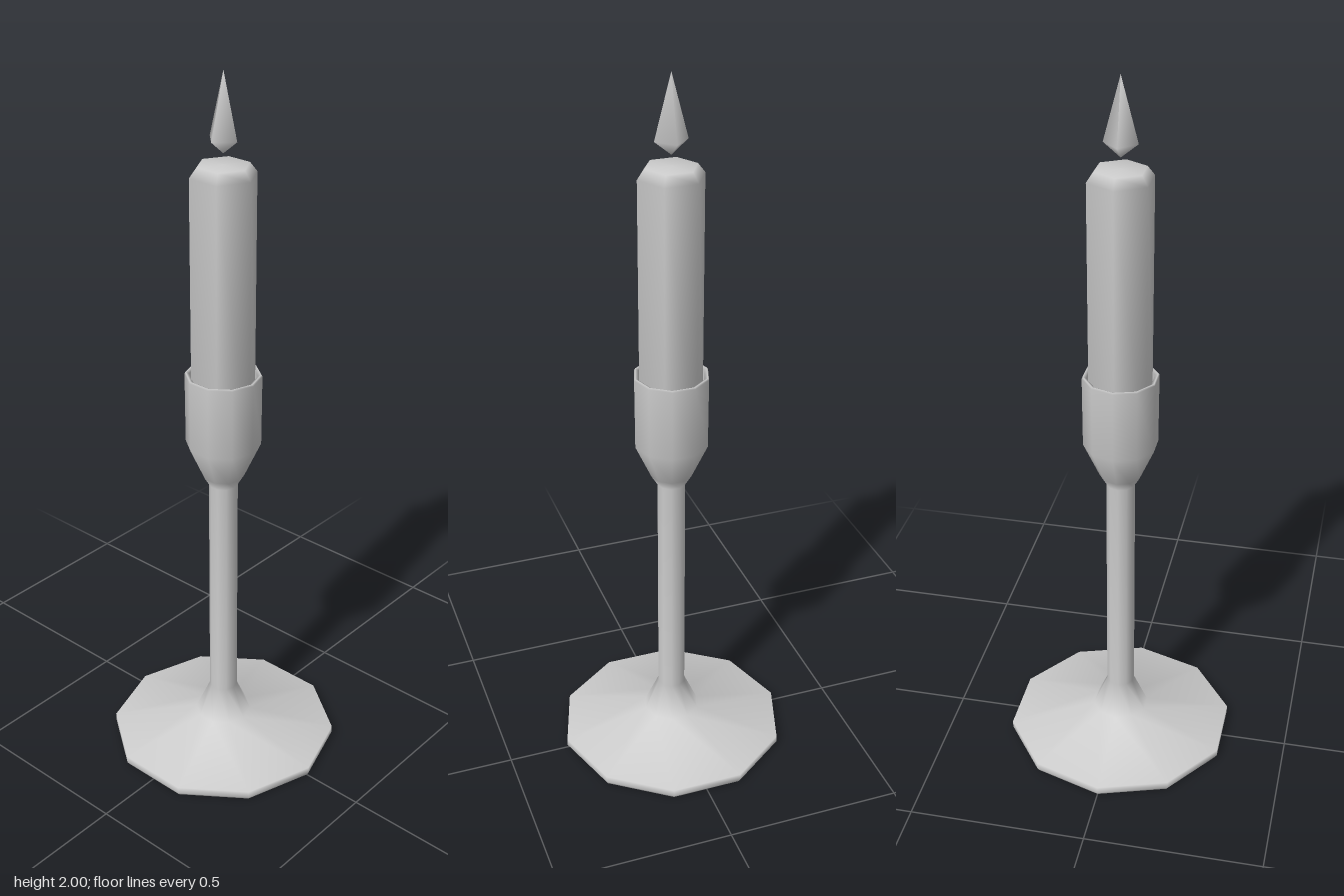
import * as THREE from 'three';

// Low-sided, smooth-shaded turned part; profile runs from bottom to top as [radius, y]
function turned(name, sides, profile) {
  const points = profile.map(([r, y]) => new THREE.Vector2(r, y));
  const material = new THREE.MeshStandardMaterial({ color: 0xcccccc });
  const mesh = new THREE.Mesh(new THREE.LatheGeometry(points, sides), material);
  mesh.name = name;
  return mesh;
}

export function createModel() {
  const group = new THREE.Group();
  group.name = 'candlestick';

  // Foot, stem and hollow cup in one ten-sided profile
  group.add(turned('holder', 10, [
    [0, 0], [0.322, 0], [0.327, 0.008], [0.327, 0.028], // foot
    [0.08, 0.082], [0.04, 0.172],                       // flare into stem
    [0.04, 0.855], [0.058, 0.885], [0.103, 0.985],      // stem and cup bowl
    [0.104, 1.187], [0.101, 1.192], [0.092, 1.187],     // cup wall and rim
    [0.09, 1.0], [0, 1.0],                              // inside of the cup
  ]));

  // Six-sided candle with a bevelled top
  group.add(turned('candle', 6, [
    [0, 1.0], [0.09, 1.0], [0.09, 1.738], [0.07, 1.764], [0, 1.766],
  ]));

  // Four-sided flame floating above the candle
  group.add(turned('flame', 4, [
    [0, 1.793], [0.045, 1.83], [0, 2.0],
  ]));

  return group;
}
